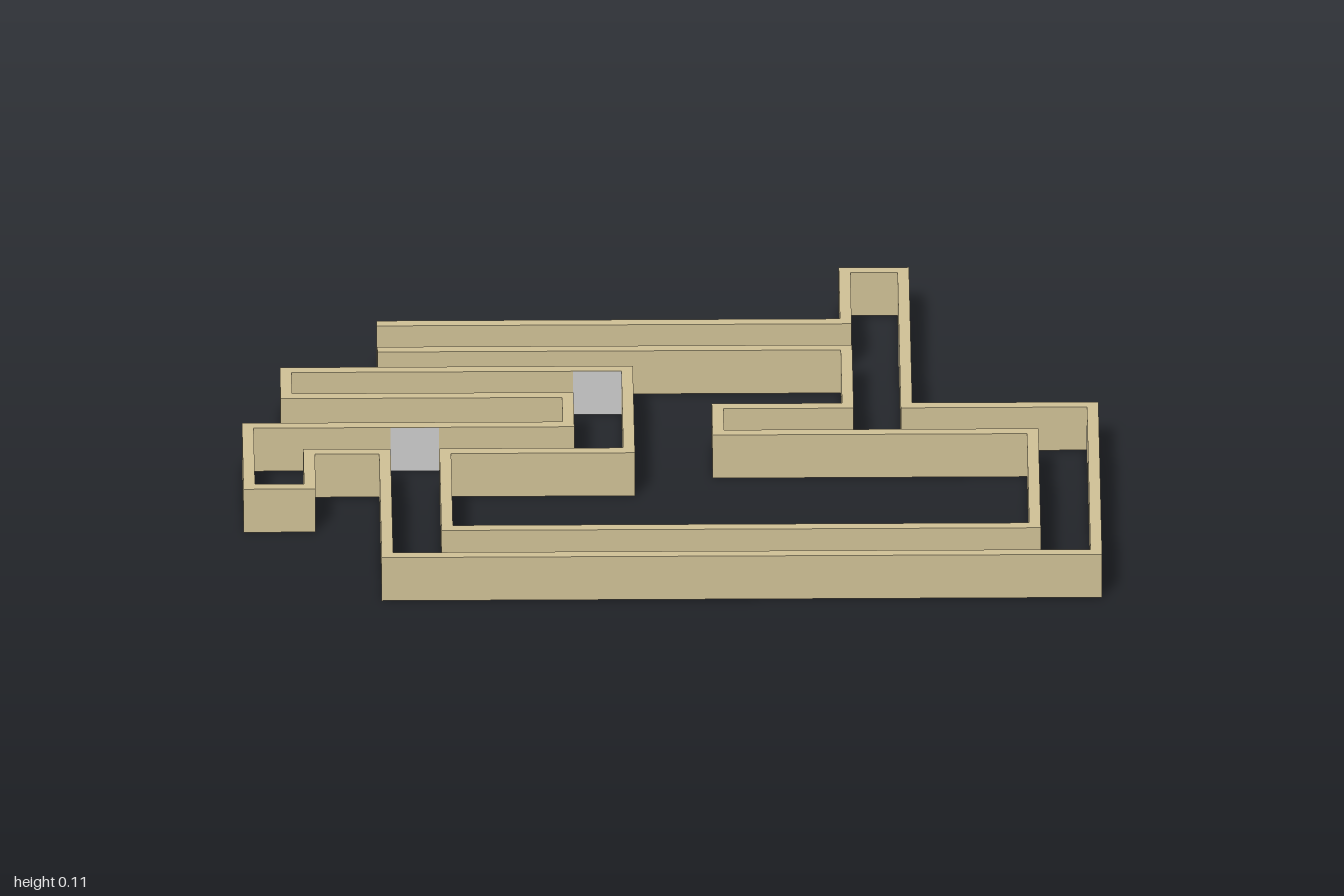
import * as THREE from 'three';

const HEIGHT = 0.112, HALF = 0.0135;

// Centre line of the wall, as [x, z]
const PATH = [
  [-0.68, -0.481], [0.415, -0.481], [0.415, -0.753], [0.552, -0.753], [0.552, -0.032],
  [0.9865, -0.032], [0.9865, 0.752], [-0.668, 0.752], [-0.668, 0.2], [-0.845, 0.2],
  [-0.845, 0.385], [-0.9865, 0.385], [-0.9865, 0.06], [-0.238, 0.06], [-0.238, -0.096],
  [-0.895, -0.096], [-0.895, -0.235], [-0.098, -0.235], [-0.098, 0.2], [-0.527, 0.2],
  [-0.527, 0.609], [0.845, 0.609], [0.845, 0.108], [0.111, 0.108], [0.111, -0.032],
  [0.415, -0.032], [0.415, -0.342], [-0.68, -0.342],
];

// Point i of the path pushed sideways, mitred at the right-angled corners
function offsetPoint(i, d) {
  const normal = (a, b) => {
    const l = Math.hypot(b[0] - a[0], b[1] - a[1]);
    return [-(b[1] - a[1]) / l, (b[0] - a[0]) / l];
  };
  const p = PATH[i], n = [0, 0];
  if (i > 0) normal(PATH[i - 1], p).forEach((v, k) => { n[k] += v; });
  if (i < PATH.length - 1) normal(p, PATH[i + 1]).forEach((v, k) => { n[k] += v; });
  return new THREE.Vector2(p[0] + n[0] * d, -(p[1] + n[1] * d));
}

// Grey faces that close each straight run: [x, z, width, direction faced]
const PANELS = [
  [0.538, -0.411, 0.112, '-x'],
  [0.484, 0.094, 0.11, '-z'],
  [0.973, 0.038, 0.112, '-x'],
  [0.916, 0.738, 0.114, '-z'],
  [-0.654, 0.68, 0.116, '+x'],
  [-0.597, 0.074, 0.114, '+z'],
  [-0.112, 0.13, 0.113, '-x'],
  [-0.168, -0.221, 0.113, '+z'],
  [-0.881, -0.165, 0.112, '+x'],
];
const TURN = { '+z': 0, '+x': Math.PI / 2, '-z': Math.PI, '-x': -Math.PI / 2 };

export function createModel() {
  const model = new THREE.Group();
  model.name = 'corridorMaze';
  const tan = new THREE.MeshStandardMaterial({ color: 0xd0c196, flatShading: true });
  const grey = new THREE.MeshStandardMaterial({ color: 0xcccccc });

  // One continuous wall following the corridor
  const left = PATH.map((_, i) => offsetPoint(i, HALF));
  const right = PATH.map((_, i) => offsetPoint(i, -HALF)).reverse();
  const wallGeometry = new THREE.ExtrudeGeometry(new THREE.Shape([...left, ...right]), {
    depth: HEIGHT, bevelEnabled: false,
  });
  wallGeometry.rotateX(-Math.PI / 2);
  const wall = new THREE.Mesh(wallGeometry, tan);
  wall.name = 'corridorWall';
  model.add(wall);

  // Panels lie just in front of the wall faces
  for (const [x, z, width, facing] of PANELS) {
    const panel = new THREE.Mesh(new THREE.PlaneGeometry(width, HEIGHT), grey);
    panel.name = 'endPanel';
    panel.position.set(x, HEIGHT / 2, z);
    panel.rotation.y = TURN[facing];
    panel.translateZ(0.0015);
    model.add(panel);
  }
  return model;
}
